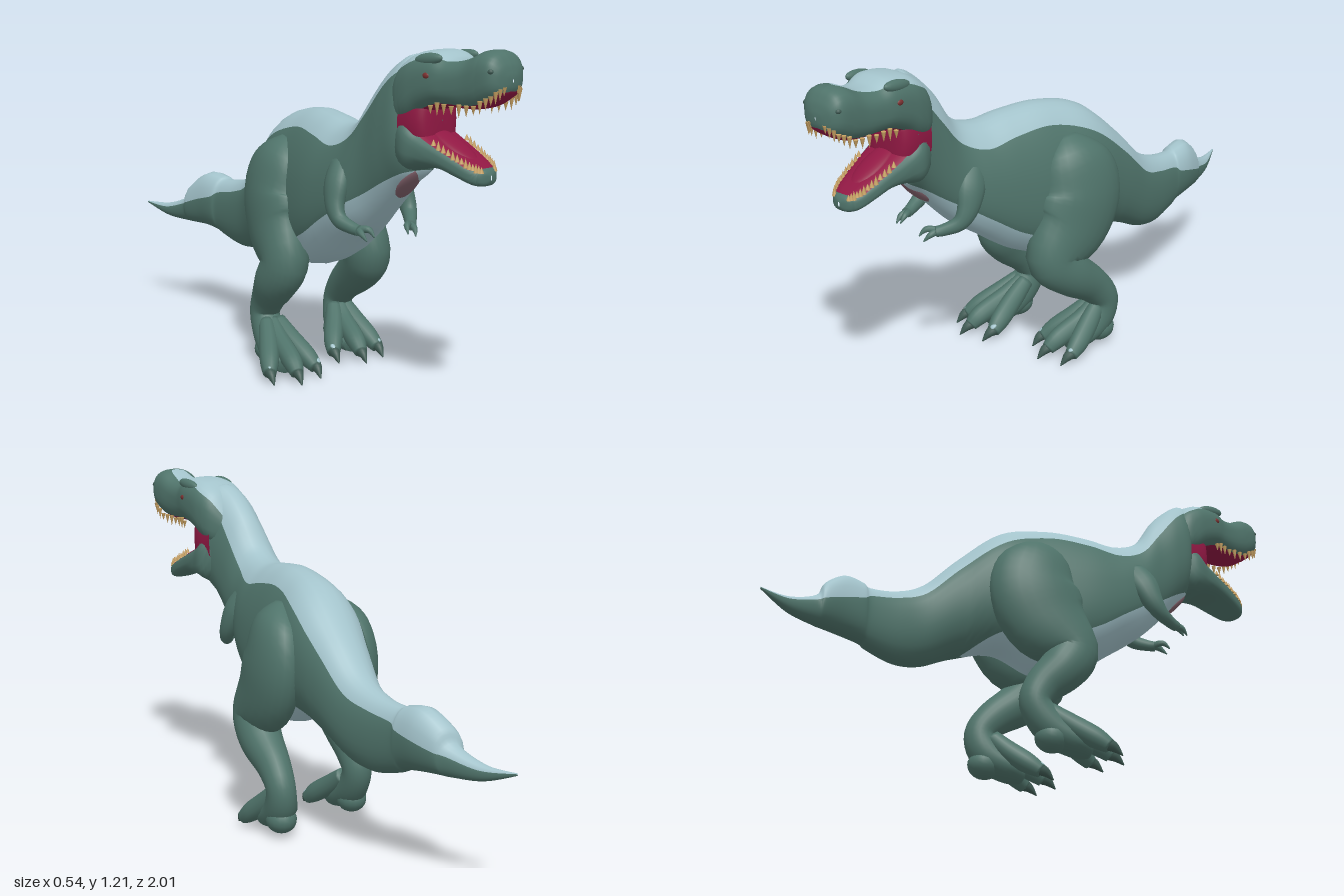
import * as THREE from 'three';

const mat = (name, color, double) => {
  const m = new THREE.MeshStandardMaterial({ color });
  m.name = name;
  if (double) m.side = THREE.DoubleSide;
  return m;
};
const green = mat('green hide', 0x4f736a);
const pale = mat('pale hide', 0xa3c3cb);
const red = mat('mouth red', 0x901843, true);
const ivory = mat('tooth ivory', 0xc9a263);
const dark = mat('dark claw', 0x3f5a53);
const pink = mat('throat pink', 0x80606a);
const eyeRed = mat('eye red', 0x7a3030);
const clamp = THREE.MathUtils.clamp;

// Smooth interpolation of a table of rows, t from 0 to 1
function sample(rows, t) {
  const f = t * (rows.length - 1);
  const i = Math.min(Math.floor(f), rows.length - 2);
  const u = f - i;
  const at = (k) => rows[Math.max(0, Math.min(rows.length - 1, k))];
  return rows[0].map((_, c) => {
    const [a, b, d, e] = [at(i - 1)[c], at(i)[c], at(i + 1)[c], at(i + 2)[c]];
    const m0 = (d - a) / 2, m1 = (e - b) / 2;
    return b + u * (m0 + u * (3 * (d - b) - 2 * m0 - m1 + u * (2 * (b - d) + m0 + m1)));
  });
}

// Skin closed rings of points; bandOf picks the material for each column
function skin(name, rings, materials, bandOf = () => 0) {
  const n = rings[0].length;
  const bands = materials.map(() => []);
  for (let i = 0; i < rings.length - 1; i++) {
    for (let j = 0; j < n; j++) {
      const k = (j + 1) % n;
      const a = i * n + j, b = i * n + k;
      bands[bandOf(j)].push(a, b, a + n, b, b + n, a + n);
    }
  }
  const g = new THREE.BufferGeometry();
  g.setAttribute('position', new THREE.Float32BufferAttribute(rings.flat(2), 3));
  g.setIndex(bands.flat());
  let start = 0;
  bands.forEach((b, i) => {
    g.addGroup(start, b.length, i);
    start += b.length;
  });
  g.computeVertexNormals();
  const mesh = new THREE.Mesh(g, materials);
  mesh.name = name;
  return mesh;
}

// Loft along z. Row: z, centre x, top, bottom, half width, upper colour line, lower colour line
// taper narrows the top and widens the bottom of a section
function loft(name, rows, materials, power = 2.2, taper = () => 0) {
  const p = 2 / power;
  const pw = (v) => Math.sign(v) * Math.abs(v) ** p;
  const rings = [];
  const count = (rows.length - 1) * 6;
  for (let i = 0; i <= count; i++) {
    const [z, x, top, bot, w, hi, lo] = sample(rows, i / count);
    const c = (top + bot) / 2, h = (top - bot) / 2;
    const angle = (y) => {
      const k = clamp((y - c) / h, -1, 1);
      return Math.asin(Math.sign(k) * Math.abs(k) ** (1 / p));
    };
    const stops = [-Math.PI / 2, angle(lo), Math.max(angle(lo), angle(hi)), Math.PI / 2];
    const half = [];
    [4, 10, 4].forEach((n, b) => {
      for (let j = 0; j < n; j++) half.push(stops[b] + (stops[b + 1] - stops[b]) * j / n);
    });
    half.push(Math.PI / 2);
    const right = half.map((a) => [
      x + w * pw(Math.max(0, Math.cos(a))) * (1 - taper(z) * Math.sin(a)), c + h * pw(Math.sin(a)), z]);
    const left = right.slice(1, -1).reverse().map(([px, py, pz]) => [2 * x - px, py, pz]);
    rings.push([...right, ...left]);
  }
  return skin(name, rings, materials, (j) => {
    const k = j < 18 ? j : 35 - j;
    return k < 4 ? 0 : k < 14 ? 1 : 2;
  });
}

// Tapering limb. Row: x, y, z, side radius, front-back radius
function limb(name, rows, material, sides = 16, steps = 5) {
  const count = (rows.length - 1) * steps;
  const pts = [];
  for (let i = 0; i <= count; i++) pts.push(sample(rows, i / count));
  const vec = (q) => new THREE.Vector3(q[0], q[1], q[2]);
  const rings = pts.map((q, i) => {
    const t = vec(pts[Math.min(i + 1, count)]).sub(vec(pts[Math.max(i - 1, 0)])).normalize();
    const v = t.clone().cross(new THREE.Vector3(1, 0, 0)).normalize();
    const u = v.clone().cross(t);
    return Array.from({ length: sides }, (_, j) => {
      const a = j / sides * Math.PI * 2;
      return vec(q).addScaledVector(u, Math.cos(a) * q[3]).addScaledVector(v, Math.sin(a) * q[4]).toArray();
    });
  });
  const cap = (q) => Array.from({ length: sides }, () => q.slice(0, 3));
  return skin(name, [cap(pts[0]), ...rings, cap(pts[count])], [material]);
}

function blob(name, material, pos, scale) {
  const m = new THREE.Mesh(new THREE.SphereGeometry(1, 18, 12), material);
  m.name = name;
  m.position.set(...pos);
  m.scale.set(...scale);
  return m;
}

// Head turned to its left, mouth wide open
function makeHead() {
  const head = new THREE.Group();
  head.name = 'head';
  head.position.set(0.085, 0, 0.62);
  head.rotation.y = 0.3;
  const upper = [
    [-0.07, 0, 1.05, 0.96, 0.05, 1.04, 0.9], [-0.02, 0, 1.14, 0.945, 0.098, 1.115, 0.93],
    [0.03, 0, 1.18, 0.96, 0.112, 1.148, 0.97],
    [0.08, 0, 1.195, 0.995, 0.112, 1.17, 1.01], [0.14, 0, 1.198, 1.02, 0.106, 1.18, 1.035],
    [0.19, 0, 1.18, 1.025, 0.095, 1.17, 1.04], [0.25, 0, 1.185, 1.025, 0.088, 1.181, 1.04],
    [0.31, 0, 1.212, 1.035, 0.086, 1.211, 1.05], [0.355, 0, 1.208, 1.06, 0.08, 1.22, 1.075],
    [0.38, 0, 1.18, 1.08, 0.06, 1.2, 1.09], [0.391, 0, 1.15, 1.1, 0.03, 1.17, 1.09],
    [0.394, 0, 1.13, 1.12, 0.002, 1.15, 1.09],
  ];
  const lower = [
    [-0.05, 0, 0.97, 0.83, 0.07, 1, 0.8], [0.02, 0, 0.99, 0.805, 0.109, 0.975, 0.8],
    [0.08, 0, 0.945, 0.82, 0.102, 0.93, 0.8], [0.15, 0, 0.912, 0.825, 0.088, 0.897, 0.8],
    [0.22, 0, 0.88, 0.807, 0.076, 0.867, 0.79], [0.275, 0, 0.855, 0.79, 0.06, 0.842, 0.78],
    [0.305, 0, 0.842, 0.792, 0.036, 0.85, 0.78], [0.316, 0, 0.825, 0.81, 0.003, 0.85, 0.78],
  ];
  head.add(loft('upperHead', upper, [red, green, pale], 2.7));
  head.add(loft('lowerJaw', lower, [green, green, red], 2.8));
  head.add(loft('mouthLining', [
    [-0.02, 0, 1.08, 0.86, 0.095, 1.2, 0.8], [0.05, 0, 1.07, 0.87, 0.096, 1.2, 0.8],
    [0.09, 0, 1.06, 0.88, 0.082, 1.2, 0.8], [0.105, 0, 1.03, 0.9, 0.05, 1.2, 0.8],
    [0.108, 0, 0.975, 0.97, 0.0005, 1.2, 0.8],
  ], [red, red, red], 3));
  const tongue = blob('tongue', red, [0, 0.9, 0.16], [0.045, 0.016, 0.11]);
  tongue.rotation.x = 0.45;
  head.add(tongue);

  // Teeth follow both lips
  const cone = new THREE.ConeGeometry(1, 1, 7);
  const teeth = (name, rows, from, to, up) => {
    for (const side of [-1, 1]) {
      for (let i = 0; i < 13; i++) {
        const [z, , top, bot, w] = sample(rows, from + (to - from) * i / 12);
        const len = 0.026 + 0.012 * ((i * 5) % 3) / 2;
        const t = new THREE.Mesh(cone, ivory);
        t.name = name;
        t.scale.set(0.0085, len * (up ? 0.8 : 1.1), 0.0085);
        t.position.set(side * w * 0.86, up ? top + 0.002 : bot - 0.002, z - 0.004);
        if (!up) t.rotation.x = Math.PI;
        head.add(t);
      }
    }
  };
  teeth('upperTooth', upper, 0.37, 0.89, false);
  teeth('lowerTooth', lower, 0.42, 0.86, true);

  // Brows, eyes, nostrils
  for (const s of [-1, 1]) {
    const brow = blob('brow', green, [s * 0.082, 1.173, 0.12], [0.017, 0.02, 0.058]);
    brow.rotation.x = -0.15;
    head.add(brow);
    head.add(blob('eye', eyeRed, [s * 0.101, 1.125, 0.13], [0.009, 0.011, 0.015]));
    head.add(blob('nostril', dark, [s * 0.068, 1.155, 0.362], [0.01, 0.009, 0.011]));
  }
  return head;
}

// Hind leg; reach moves the foot forward, lean tips the hip in and the foot out
function makeLeg(side, lean, reach) {
  const leg = new THREE.Group();
  leg.name = side > 0 ? 'leftLeg' : 'rightLeg';
  const place = ([x, y, z, a, b]) => [
    side * (x - lean * clamp(y * 5 - 1, -1, 1)), y, z + reach * clamp((0.41 - y) / 0.33, 0, 1), a, b];
  leg.add(limb('legBody', [
    [0.1, 0.82, 0, 0.03, 0.04], [0.13, 0.75, -0.01, 0.08, 0.122], [0.153, 0.63, -0.03, 0.092, 0.162],
    [0.16, 0.51, 0.015, 0.09, 0.157], [0.17, 0.41, 0.1, 0.082, 0.1], [0.178, 0.33, 0.03, 0.077, 0.083],
    [0.17, 0.255, -0.07, 0.06, 0.066], [0.167, 0.185, -0.125, 0.053, 0.056],
    [0.16, 0.11, -0.1, 0.058, 0.062], [0.155, 0.06, -0.02, 0.062, 0.045], [0.155, 0.045, 0.03, 0.035, 0.03],
  ].map(place), green, 24));
  // Three toes with claws
  for (const [x, z] of [[0.058, 0.09], [0.148, 0.13], [0.235, 0.09]]) {
    const mix = (k) => 0.158 + (x - 0.158) * k;
    leg.add(limb('toe', [
      [mix(0.25), 0.165, -0.09, 0.028, 0.03], [mix(0.48), 0.115, -0.04, 0.035, 0.038],
      [mix(0.8), 0.068, z - 0.07, 0.034, 0.037], [x, 0.036, z - 0.025, 0.023, 0.025],
    ].map(place), green, 12));
    leg.add(limb('toeClaw', [
      [x, 0.045, z - 0.04, 0.02, 0.022], [x, 0.035, z - 0.01, 0.016, 0.018], [x, 0.008, z + 0.02, 0.002, 0.002],
    ].map(place), dark, 10));
    const nail = blob('nailPatch', pale, place([x, 0.059, z - 0.025, 0, 0]).slice(0, 3), [0.013, 0.008, 0.017]);
    nail.rotation.x = 0.6;
    leg.add(nail);
  }
  // Heel pad
  const heel = place([0.16, 0.07, -0.11, 0, 0]).slice(0, 3);
  leg.add(blob('heelPad', green, heel, [0.055, 0.05, 0.06]));
  return leg;
}

// Small two-fingered arm
function makeArm(side) {
  const arm = new THREE.Group();
  arm.name = side > 0 ? 'leftArm' : 'rightArm';
  const place = ([x, y, z, a, b]) => [side * x + 0.015, y, z, a, b];
  arm.add(limb('armBody', [
    [0.08, 0.79, 0.38, 0.04, 0.05], [0.113, 0.73, 0.405, 0.04, 0.055], [0.132, 0.665, 0.43, 0.031, 0.04],
    [0.13, 0.622, 0.462, 0.025, 0.028], [0.108, 0.602, 0.51, 0.02, 0.021], [0.095, 0.597, 0.535, 0.02, 0.018],
  ].map(place), green, 14));
  for (const [x, y] of [[0.062, 0.58], [0.09, 0.57]]) {
    arm.add(limb('finger', [[0.095, 0.598, 0.525, 0.013, 0.013], [x + 0.008, y + 0.022, 0.555, 0.011, 0.011],
      [x, y, 0.58, 0.002, 0.002]].map(place), green, 8));
  }
  return arm;
}

export function createModel() {
  const model = new THREE.Group();
  model.name = 'dinosaur';
  // Tail, trunk and neck
  model.add(loft('body', [
    [-1, -0.265, 0.425, 0.418, 0.003, 0.423, 0.41], [-0.9, -0.205, 0.432, 0.38, 0.024, 0.417, 0.37],
    [-0.8, -0.152, 0.475, 0.372, 0.042, 0.445, 0.36], [-0.77, -0.138, 0.53, 0.372, 0.057, 0.455, 0.36],
    [-0.7, -0.105, 0.583, 0.37, 0.064, 0.48, 0.36], [-0.63, -0.082, 0.578, 0.36, 0.064, 0.5, 0.35],
    [-0.6, -0.07, 0.568, 0.345, 0.06, 0.52, 0.33], [-0.5, -0.04, 0.585, 0.322, 0.072, 0.54, 0.31],
    [-0.4, -0.015, 0.635, 0.337, 0.088, 0.578, 0.32], [-0.28, 0, 0.755, 0.39, 0.115, 0.69, 0.38],
    [-0.12, 0.005, 0.888, 0.43, 0.15, 0.815, 0.475], [0.05, 0.01, 0.933, 0.375, 0.162, 0.87, 0.47],
    [0.2, 0.01, 0.93, 0.42, 0.16, 0.863, 0.52], [0.32, 0.015, 0.918, 0.5, 0.145, 0.845, 0.595],
    [0.42, 0.02, 0.955, 0.57, 0.12, 0.885, 0.66], [0.5, 0.04, 1.07, 0.645, 0.104, 0.98, 0.71],
    [0.58, 0.06, 1.148, 0.73, 0.104, 1.08, 0.765], [0.64, 0.085, 1.175, 0.79, 0.104, 1.13, 0.8],
    [0.665, 0.09, 1.1, 0.87, 0.05, 1.15, 0.8],
  ], [pale, green, pale], 2.2, (z) => clamp(z + 0.2, 0, 0.2) * clamp((0.7 - z) * 5, 0, 1)));
  // Bare skin on the throat
  const patch = blob('throatPatch', pink, [0.07, 0.75, 0.585], [0.042, 0.02, 0.08]);
  patch.rotation.set(-0.78, 0, 0.15);
  model.add(patch);
  model.add(makeHead());
  model.add(makeLeg(1, 0, 0), makeLeg(-1, 0.02, 0.13));
  model.add(makeArm(1), makeArm(-1));
  return model;
}
